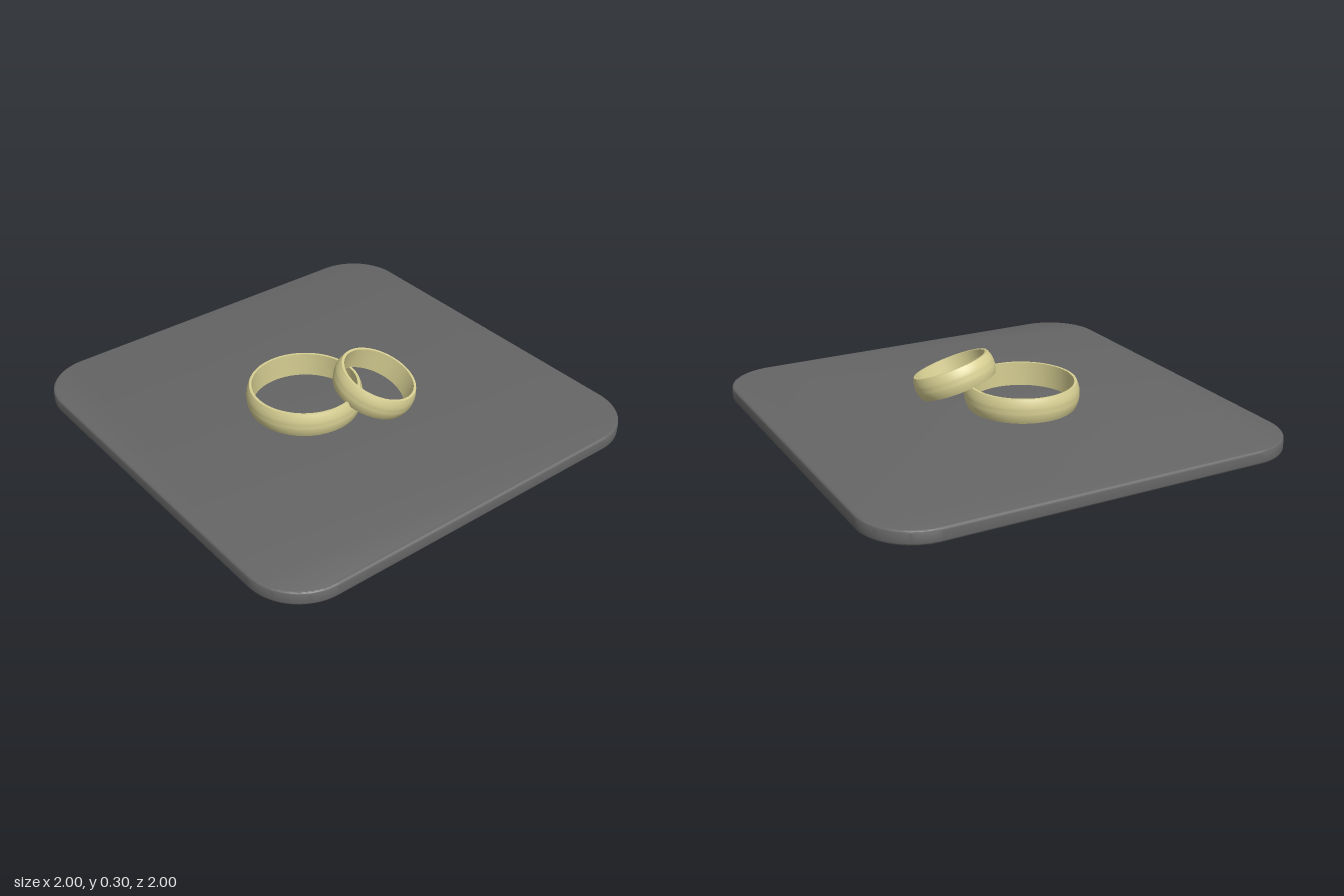
import * as THREE from 'three';
import { toCreasedNormals } from 'three/addons/utils/BufferGeometryUtils.js';

const gold = new THREE.MeshStandardMaterial({ name: 'gold', color: 0xd6ce92 });
const slate = new THREE.MeshStandardMaterial({ name: 'slate grey', color: 0x666666 });

const PLATE_TOP = 0.064;

// Square slab with rounded corners and softly bevelled rims
function makePlate() {
  const half = 1, r = 0.25, bevel = 0.012;
  const c = half - r;
  const shape = new THREE.Shape();
  shape.absarc(c, c, r, 0, Math.PI / 2);
  shape.absarc(-c, c, r, Math.PI / 2, Math.PI);
  shape.absarc(-c, -c, r, Math.PI, Math.PI * 1.5);
  shape.absarc(c, -c, r, Math.PI * 1.5, Math.PI * 2);
  shape.closePath();
  const geo = new THREE.ExtrudeGeometry(shape, {
    depth: PLATE_TOP - 2 * bevel,
    bevelThickness: bevel,
    bevelSize: bevel,
    bevelOffset: -bevel,
    bevelSegments: 4,
    curveSegments: 16,
  });
  geo.rotateX(-Math.PI / 2);
  geo.translate(0, bevel, 0);
  const mesh = new THREE.Mesh(toCreasedNormals(geo, 0.6), slate);
  mesh.name = 'basePlate';
  return mesh;
}

// Wedding band: straight inside wall, domed outside
function makeBand(name, radius, width) {
  const h = width / 2, dome = 0.014, inner = radius - 0.026;
  const profile = [new THREE.Vector2(inner, -h)];
  const steps = 12;
  for (let i = 0; i <= steps; i++) {
    const t = (i / steps) * 2 - 1;
    profile.push(new THREE.Vector2(radius - dome * t * t, t * h));
  }
  profile.push(new THREE.Vector2(inner, h), new THREE.Vector2(inner, -h));
  const mesh = new THREE.Mesh(toCreasedNormals(new THREE.LatheGeometry(profile, 80), 0.7), gold);
  mesh.name = name;
  return mesh;
}

export function createModel() {
  const group = new THREE.Group();
  group.name = 'ringsOnPlate';
  group.add(makePlate());

  // Large band lies flat
  const large = makeBand('largeRing', 0.267, 0.115);
  large.position.set(-0.036, PLATE_TOP + 0.0575, 0.125);
  group.add(large);

  // Small band leans on the large one, its axis tipped right and back
  const small = makeBand('smallRing', 0.196, 0.11);
  const tilt = 0.375, heading = 0.74;
  const axis = new THREE.Vector3(
    Math.sin(tilt) * Math.cos(heading),
    Math.cos(tilt),
    -Math.sin(tilt) * Math.sin(heading)
  );
  small.quaternion.setFromUnitVectors(new THREE.Vector3(0, 1, 0), axis);
  small.position.set(0.167, 0.182, -0.12);
  group.add(small);

  return group;
}
